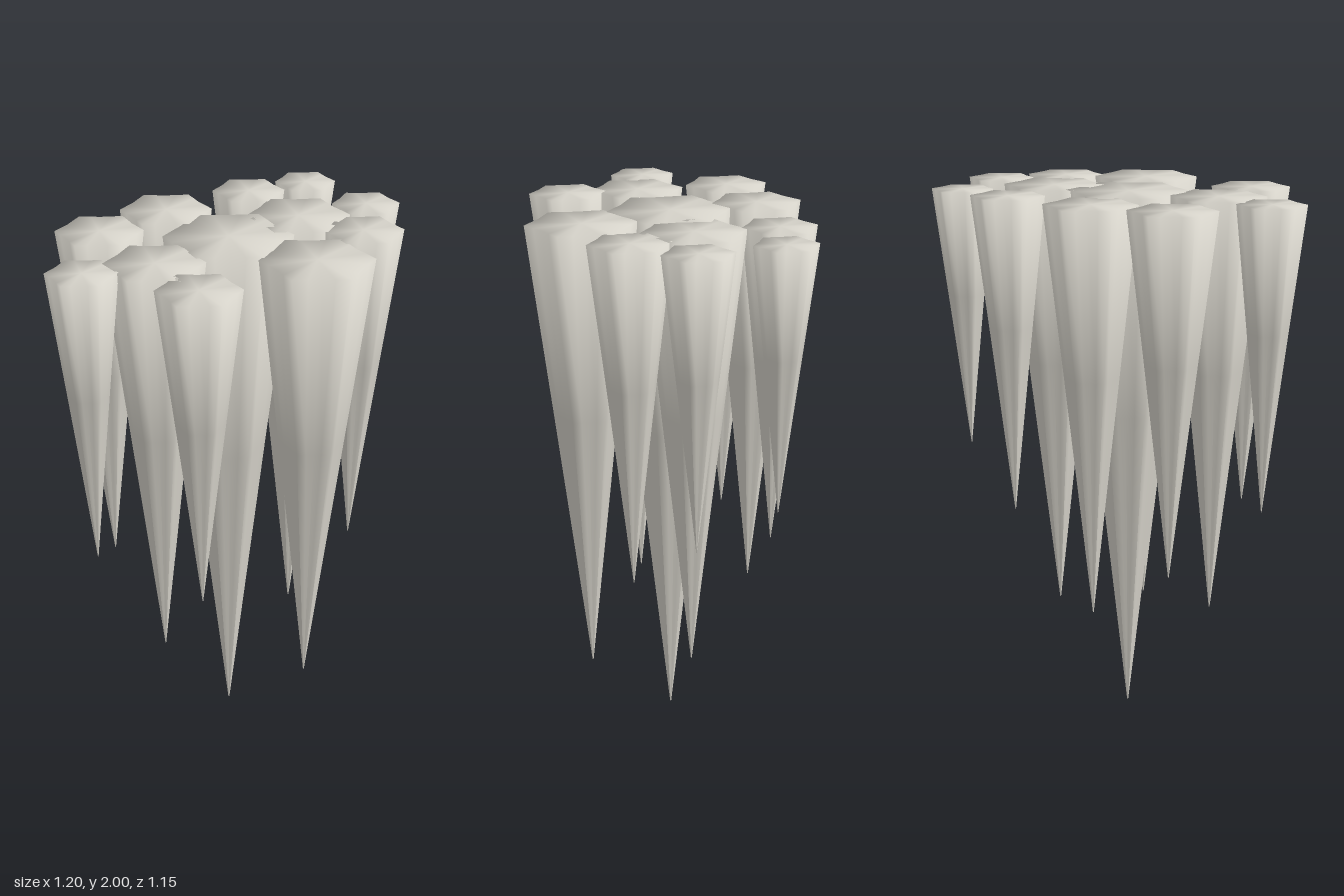
import * as THREE from 'three';

const TOP = 2;
const SEGMENTS = 24;
// rings down a spike: [fraction of its length, fraction of its radius]
const RINGS = [[0, 1], [0.4, 0.6], [1, 0.01]];

// One hanging spike: a six-pointed scalloped rim tapering straight to a tip,
// with a flat cap whose shading rolls softly over the rim.
function spikeGeometry(radius, tipY) {
  const positions = [];
  const index = [];
  for (const [down, scale] of RINGS) {
    for (let i = 0; i < SEGMENTS; i++) {
      const a = (i / SEGMENTS) * Math.PI * 2;
      const r = radius * scale * (1 - 0.17 * Math.abs(Math.sin(3 * a)));
      positions.push(r * Math.cos(a), TOP - (TOP - tipY) * down, r * Math.sin(a));
    }
  }
  const cap = RINGS.length * SEGMENTS;
  positions.push(0, TOP, 0);

  // tapering sides
  for (let k = 0; k < RINGS.length - 1; k++) {
    for (let i = 0; i < SEGMENTS; i++) {
      const next = (i + 1) % SEGMENTS;
      const a = k * SEGMENTS + i;
      const b = k * SEGMENTS + next;
      index.push(a, b, a + SEGMENTS, b, b + SEGMENTS, a + SEGMENTS);
    }
  }
  const geometry = new THREE.BufferGeometry();
  geometry.setAttribute('position', new THREE.Float32BufferAttribute(positions, 3));
  geometry.setIndex(index);
  geometry.computeVertexNormals();

  // flat cap, with the rim normals halfway between side and top
  const normals = geometry.attributes.normal;
  const normal = new THREE.Vector3();
  for (let i = 0; i < SEGMENTS; i++) {
    index.push((i + 1) % SEGMENTS, i, cap);
    normal.fromBufferAttribute(normals, i);
    normal.y += 1;
    normal.normalize();
    normals.setXYZ(i, normal.x, normal.y, normal.z);
  }
  normals.setXYZ(cap, 0, 1, 0);
  geometry.setIndex(index);
  return geometry;
}

export function createModel() {
  const group = new THREE.Group();
  group.name = 'stalactiteCluster';
  const material = new THREE.MeshStandardMaterial({ color: 0xd6d3ca });

  // x, z, rim radius, height of the tip
  const spikes = [
    [-0.01, 0.02, 0.22, 0],
    [0.27, 0.23, 0.19, 0.31],
    [0.235, -0.155, 0.18, 0.38],
    [-0.255, 0.24, 0.167, 0.46],
    [-0.22, -0.225, 0.16, 0.52],
    [-0.443, -0.037, 0.15, 0.71],
    [0.445, -0.015, 0.139, 0.78],
    [-0.115, 0.453, 0.139, 0.81],
    [0.075, -0.4, 0.129, 0.85],
    [-0.484, 0.312, 0.118, 0.91],
    [0.481, -0.26, 0.119, 0.96],
    [0.285, -0.485, 0.109, 1.06],
  ];
  spikes.forEach(([x, z, radius, tipY], i) => {
    const spike = new THREE.Mesh(spikeGeometry(radius, tipY), material);
    spike.name = `stalactite${i + 1}`;
    spike.position.set(x, 0, z);
    group.add(spike);
  });
  return group;
}
